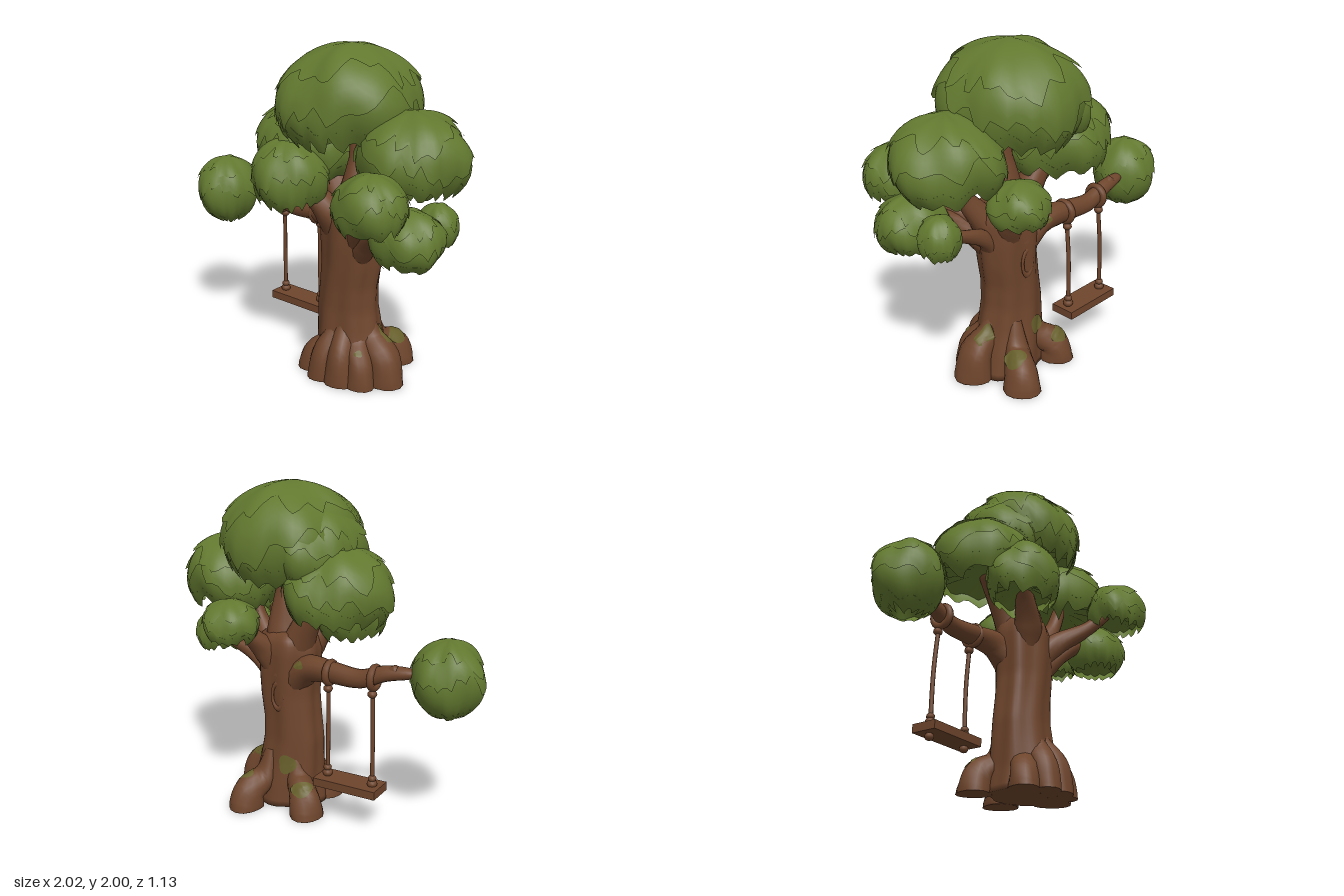
import * as THREE from 'three';
import { mergeVertices } from 'three/addons/utils/BufferGeometryUtils.js';
import { ParametricGeometry } from 'three/addons/geometries/ParametricGeometry.js';

const TAU = Math.PI * 2;
const V = (x, y, z) => new THREE.Vector3(x, y, z);

// Smooth surface from a rule f(u, v), welded along its seam
function surface(f, across, along) {
  const g = new ParametricGeometry(f, across, along);
  g.deleteAttribute('uv');
  g.deleteAttribute('normal');
  const m = mergeVertices(g, 1e-5);
  m.computeVertexNormals();
  return m;
}

function sample(list, t) {
  const s = Math.min(Math.max(t, 0), 1) * (list.length - 1);
  const i = Math.min(Math.floor(s), list.length - 2);
  return list[i] + (list[i + 1] - list[i]) * (s - i);
}

export function createModel() {
  const tree = new THREE.Group();
  tree.name = 'treeWithSwing';
  const bark = new THREE.MeshStandardMaterial({ color: 0x6e452c });
  const leaf = new THREE.MeshStandardMaterial({ color: 0x62782f, side: THREE.DoubleSide });
  const moss = new THREE.MeshStandardMaterial({ color: 0x675f2b, side: THREE.DoubleSide });
  bark.name = 'bark brown';
  leaf.name = 'leaf green';
  moss.name = 'moss green';

  const add = (name, geometry, material, parent = tree) => {
    const mesh = new THREE.Mesh(geometry, material);
    mesh.name = name;
    parent.add(mesh);
    return mesh;
  };

  // Tapered limb along a curve, flattened where it meets the ground
  const ref = V(0.3, 0.1, 1).normalize();
  function limb(name, points, radii, rows = 18) {
    const curve = new THREE.CatmullRomCurve3(points.map(p => V(...p)));
    return add(name, surface((u, v, out) => {
      const T = curve.getTangent(v);
      const N = ref.clone().cross(T).normalize();
      const B = T.clone().cross(N);
      const a = u * TAU;
      let r = sample(radii, v) * (1 + 0.05 * Math.sin(3 * a + v * 7));
      if (v > 0.9) r *= Math.sqrt(Math.max(0, 1 - ((v - 0.9) / 0.1) ** 2));
      out.copy(curve.getPoint(v)).addScaledVector(N, r * Math.cos(a)).addScaledVector(B, r * Math.sin(a));
      out.y = Math.max(0, out.y);
    }, 14, rows), bark);
  }

  // Trunk: fluted column with a waist, closed at the fork and underneath
  const trunkX = [0.28, 0.27, 0.25, 0.237, 0.245, 0.262, 0.265, 0.262, 0.25];
  const trunkRx = [0.25, 0.225, 0.205, 0.19, 0.18, 0.185, 0.195, 0.2, 0.16];
  const trunkRz = [0.2, 0.19, 0.17, 0.158, 0.157, 0.16, 0.165, 0.165, 0.14];
  const trunk = add('trunk', surface((u, v, out) => {
    const a = -u * TAU;
    const flute = 1 + 0.04 * Math.sin(7 * a + v * 3) + 0.02 * Math.sin(4 * a - v * 4);
    let close = v > 0.93 ? Math.sqrt(Math.max(0, 1 - ((v - 0.93) / 0.07) ** 2)) : 1;
    if (v === 0) close = 0;
    const y = Math.max(0, v - 1 / 33) * 1.18;
    const t = y / 1.14;
    out.set(sample(trunkX, t) + Math.cos(a) * sample(trunkRx, t) * flute * close, y,
      -0.08 + Math.sin(a) * sample(trunkRz, t) * flute * close);
  }, 56, 33), bark);

  // Roots: end x, end z, end radius, shoulder height
  const woody = [trunk];
  const roots = [[0.53, -0.06, 0.115, 0.23], [0.44, 0.07, 0.09, 0.2], [0.32, 0.11, 0.095, 0.25], [0.19, 0.12, 0.085, 0.23],
    [0.07, 0.05, 0.09, 0.15], [0.035, -0.27, 0.105, 0.16], [0.42, -0.36, 0.11, 0.15]];
  for (const [x, z, r, h] of roots) {
    const at = (t, y) => [0.26 + (x - 0.26) * t, y, -0.09 + (z + 0.09) * t];
    woody.push(limb('root', [at(0.4, h + 0.2), at(0.56, h + 0.03), at(0.91, h * 0.68), at(1, 0.02), at(1.01, -0.14)],
      [0.04, 0.075, r * 0.88, r, r], 20));
  }

  // Branches rising into the crown
  limb('centreBranch', [[0.26, 0.85, -0.08], [0.28, 1.1, -0.08], [0.29, 1.35, -0.08], [0.3, 1.65, -0.08]], [0.16, 0.12, 0.055, 0.04]);
  limb('leftCrownBranch', [[0.29, 0.75, -0.08], [0.4, 0.95, -0.06], [0.53, 1.15, -0.02], [0.6, 1.34, 0]], [0.09, 0.09, 0.05, 0.04]);
  limb('lowLeftBranch', [[0.28, 0.66, -0.06], [0.41, 0.86, 0.01], [0.55, 0.99, 0.11], [0.7, 1.06, 0.16]], [0.07, 0.075, 0.05, 0.035]);
  limb('frontLeftBranch', [[0.27, 0.75, -0.06], [0.41, 0.96, 0.05], [0.56, 1.1, 0.22], [0.67, 1.24, 0.34]], [0.07, 0.075, 0.045, 0.035]);
  limb('rightCrownBranch', [[0.25, 0.8, -0.1], [0.17, 1.05, -0.11], [0.06, 1.23, -0.13], [-0.08, 1.4, -0.14]], [0.11, 0.1, 0.07, 0.05]);
  limb('frontRightBranch', [[0.23, 0.8, -0.07], [0.16, 1.02, 0.02], [0.06, 1.15, 0.08], [-0.03, 1.25, 0.12]], [0.09, 0.09, 0.06, 0.04]);
  limb('backBranch', [[0.28, 0.75, -0.1], [0.35, 0.98, -0.19], [0.4, 1.1, -0.29], [0.45, 1.22, -0.37]], [0.08, 0.08, 0.05, 0.035]);
  limb('sideTwig', [[0.36, 0.75, -0.09], [0.48, 0.91, -0.11], [0.64, 0.98, -0.12], [0.8, 1.03, -0.13]], [0.05, 0.05, 0.035, 0.022]);
  woody.push(limb('swingBranch', [[0.24, 0.76, -0.1], [0.08, 0.905, -0.16], [-0.1, 0.925, -0.19], [-0.3, 0.92, -0.2],
    [-0.46, 0.975, -0.2], [-0.66, 1.0, -0.18]], [0.11, 0.085, 0.065, 0.055, 0.046, 0.03], 28));
  limb('swingBranchStub', [[-0.46, 0.97, -0.2], [-0.5, 0.995, -0.2], [-0.54, 1.02, -0.2]], [0.03, 0.03, 0.025], 8);

  // Knot ring on the back of the trunk
  const knot = add('knotRing', new THREE.TorusGeometry(0.05, 0.012, 8, 20), bark);
  knot.scale.set(0.8, 1.6, 0.7);
  knot.position.set(0.25, 0.72, -0.235);

  // Foliage clump: three overlapping ragged shells and a hollow underside
  function clump(name, [x, y, z], [rx, ry, rz], seed, low = 122) {
    const group = new THREE.Group();
    group.name = name;
    group.position.set(x, y, z);
    tree.add(group);
    const teeth = Math.round(10 + rx * 13);
    const shell = (endDeg, wave, scale, k) => (u, v, out) => {
      const a = u * TAU;
      const w = u * teeth + 0.45 * Math.sin(2 * a + seed + k) + k * 0.37 + seed * 0.61;
      const tooth = 1 - Math.abs(2 * (w - Math.floor(w)) - 1);
      const size = 0.85 + 0.35 * Math.sin(3 * a + seed + k) + 0.25 * Math.sin(5 * a + seed * 2);
      const end = THREE.MathUtils.degToRad(endDeg)
        + wave * (Math.sin(2 * a + seed * 3 + k) + 0.6 * Math.sin(5 * a + seed + k * 2));
      const th = v * (end + (tooth - 0.55) * 0.34 * size * v * v);
      const r = scale * (1 + 0.03 * Math.sin(4 * a + seed + 3 * th) * Math.sin(th)
        + 0.025 * Math.sin(3 * a - seed * 2 + 2 * th) * Math.sin(th)
        + 0.02 * Math.sin(7 * a - seed) * v + 0.04 * tooth * v ** 4);
      out.set(rx * r * Math.sin(th) * Math.cos(a), ry * r * Math.cos(th), rz * r * Math.sin(th) * Math.sin(a));
    };
    const segments = teeth * 4;
    add('upperLeaves', surface(shell(58, 0.2, 1, 0), segments, 9), leaf, group);
    add('middleLeaves', surface(shell(90, 0.2, 0.98, 1), segments, 11), leaf, group);
    const lower = shell(low, 0.07, 0.955, 2);
    add('lowerLeaves', surface(lower, segments, 13), leaf, group);
    add('underLeaves', surface((u, v, out) => {
      lower(u, 0.86, out);
      const lift = Math.sin(v * Math.PI / 2);
      out.set(out.x * (1 - v), out.y + (-ry * 0.18 - out.y) * lift, out.z * (1 - v));
    }, segments, 5), leaf, group);
  }
  clump('crownTop', [0.23, 1.65, -0.09], [0.41, 0.35, 0.43], 1);
  clump('crownTopSide', [0.05, 1.6, -0.1], [0.27, 0.27, 0.35], 11);
  clump('crownRight', [-0.1, 1.38, -0.12], [0.335, 0.28, 0.33], 2);
  clump('crownFrontRight', [-0.045, 1.22, 0.135], [0.24, 0.24, 0.225], 3, 128);
  clump('crownLeft', [0.67, 1.4, -0.06], [0.32, 0.27, 0.32], 4, 126);
  clump('crownFrontLeft', [0.69, 1.22, 0.37], [0.2, 0.19, 0.19], 5, 126);
  clump('crownLowLeft', [0.77, 1.01, 0.15], [0.22, 0.18, 0.19], 6, 136);
  clump('crownLowBack', [0.8, 1.02, -0.13], [0.12, 0.14, 0.12], 7, 130);
  clump('crownBack', [0.465, 1.18, -0.39], [0.175, 0.15, 0.17], 8, 126);
  clump('swingBranchLeaves', [-0.79, 0.97, -0.1], [0.21, 0.228, 0.21], 9, 158);

  // Swing: seat, ropes, loops over the branch and knots
  const swing = new THREE.Group();
  swing.name = 'swing';
  tree.add(swing);
  const seat = add('seat', new THREE.BoxGeometry(0.41, 0.05, 0.16), bark, swing);
  seat.position.set(-0.255, 0.268, -0.24);
  seat.rotation.z = -0.02;
  for (const [top, bottom, y] of [[-0.39, -0.405, 0.94], [-0.1, -0.105, 0.922]]) {
    const path = new THREE.CatmullRomCurve3([V(top, y - 0.06, -0.22), V((top + bottom) / 2 - 0.005, 0.6, -0.235), V(bottom, 0.22, -0.24)]);
    add('rope', new THREE.TubeGeometry(path, 12, 0.013, 8), bark, swing);
    const loop = add('branchLoop', new THREE.TorusGeometry(0.06, 0.022, 8, 20), bark, swing);
    loop.rotation.y = Math.PI / 2;
    loop.position.set(top, y, -0.2);
    for (const [kx, ky, kz, r] of [[top, y - 0.09, -0.225, 0.028], [bottom, 0.34, -0.24, 0.025],
      [bottom, 0.308, -0.24, 0.031], [bottom - 0.004, 0.226, -0.24, 0.027]]) {
      const ball = add('ropeKnot', new THREE.SphereGeometry(r, 12, 8), bark, swing);
      ball.scale.y = 0.85;
      ball.position.set(kx, ky, kz);
    }
  }

  // Moss: thin discs draped over the bark along a direction
  const ray = new THREE.Raycaster();
  tree.updateMatrixWorld(true);
  function mossPatch(from, dir, w, h) {
    const d = V(...dir).normalize();
    const side = V(0, 1, 0).cross(d).normalize();
    const up = d.clone().cross(side);
    const drop = p => {
      ray.set(p, d);
      const hit = ray.intersectObjects(woody, false)[0];
      return hit ? hit.distance : null;
    };
    const start = V(...from).addScaledVector(d, -1.5);
    const base = drop(start);
    if (base === null) return;
    add('mossPatch', surface((u, v, out) => {
      const a = u * TAU;
      const r = v * (1 + 0.12 * Math.sin(3 * a + w * 90));
      out.copy(start).addScaledVector(side, w * r * Math.cos(a)).addScaledVector(up, h * r * Math.sin(a));
      const hit = drop(out) ?? base;
      out.addScaledVector(d, Math.min(Math.max(hit, base - 0.05), base + 0.05) - 0.005);
    }, 20, 5), moss);
  }
  mossPatch([0.4, 0.28, -0.11], [-1, 0, 0], 0.04, 0.055);
  mossPatch([0.43, 0.17, -0.31], [-0.35, -0.9, 0.4], 0.065, 0.06);
  mossPatch([0.2, 0.28, -0.22], [0.5, -0.2, 0.8], 0.055, 0.06);
  mossPatch([0.07, 0.14, -0.27], [0.6, -0.8, 0.6], 0.065, 0.05);
  mossPatch([0.1, 0.93, -0.2], [0.1, -0.3, 1], 0.035, 0.025);
  mossPatch([0.41, 0.19, 0.06], [-0.6, -0.5, -0.7], 0.025, 0.02);
  return tree;
}
